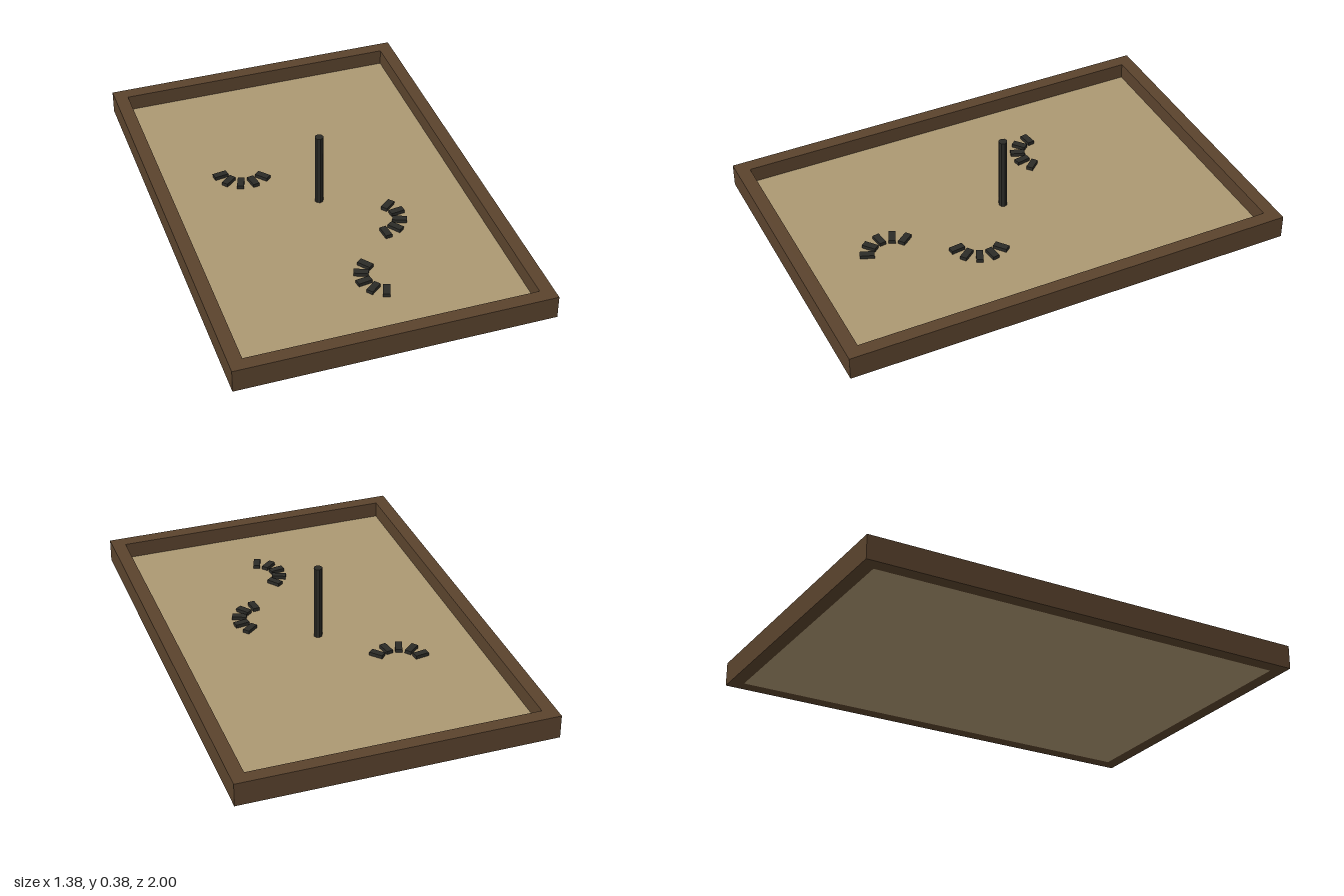
import * as THREE from 'three';

const W = 1.375, L = 2, H = 0.105;     // outer size of the pit
const BOARD = 0.06;                    // board thickness
const SAND = 0.033;                    // sand depth

export function createModel() {
  const wood = new THREE.MeshStandardMaterial({ name: 'dark wood', color: 0x5a432d });
  const sand = new THREE.MeshStandardMaterial({ name: 'sand', color: 0xac9872 });
  const iron = new THREE.MeshStandardMaterial({ name: 'iron', color: 0x2b2b27, flatShading: true });

  const model = new THREE.Group();
  model.name = 'horseshoePit';

  const add = (parent, name, geometry, material, x, y, z) => {
    const mesh = new THREE.Mesh(geometry, material);
    mesh.name = name;
    mesh.position.set(x, y, z);
    parent.add(mesh);
    return mesh;
  };
  const rectangle = (Type, w, h) => new Type([
    new THREE.Vector2(-w / 2, -h / 2), new THREE.Vector2(w / 2, -h / 2),
    new THREE.Vector2(w / 2, h / 2), new THREE.Vector2(-w / 2, h / 2),
  ]);

  // Wooden frame: rectangle with a rectangular opening
  const innerW = W - 2 * BOARD, innerL = L - 2 * BOARD;
  const outline = rectangle(THREE.Shape, W, L);
  outline.holes.push(rectangle(THREE.Path, innerW, innerL));
  const frame = new THREE.ExtrudeGeometry(outline, { depth: H, bevelEnabled: false });
  frame.rotateX(-Math.PI / 2);
  add(model, 'frame', frame, wood, 0, 0, 0);

  // Sand bed
  add(model, 'sandBed', new THREE.BoxGeometry(innerW, SAND, innerL), sand, 0, SAND / 2, 0);

  // Stake
  const top = 0.375;
  add(model, 'stake', new THREE.CylinderGeometry(0.0195, 0.0195, top, 8), iron, 0, top / 2, 0);

  // Horseshoes: five short bars set radially on an arc
  const bar = new THREE.BoxGeometry(0.063, 0.016, 0.03);
  const radius = 0.107, step = 30.6;
  const shoes = [ // x, z, middle angle in degrees from +x towards +z
    [-0.257, -0.317, 110],
    [0.185, 0.206, 22.5],
    [0.106, 0.571, 171.5],
  ];
  for (const [x, z, middle] of shoes) {
    const shoe = new THREE.Group();
    shoe.name = 'horseshoe';
    shoe.position.set(x, SAND + 0.008, z);
    for (let i = -2; i <= 2; i++) {
      const a = THREE.MathUtils.degToRad(middle + i * step);
      const piece = add(shoe, 'horseshoeBar', bar, iron, radius * Math.cos(a), 0, radius * Math.sin(a));
      piece.rotation.y = -a;
    }
    model.add(shoe);
  }
  return model;
}
